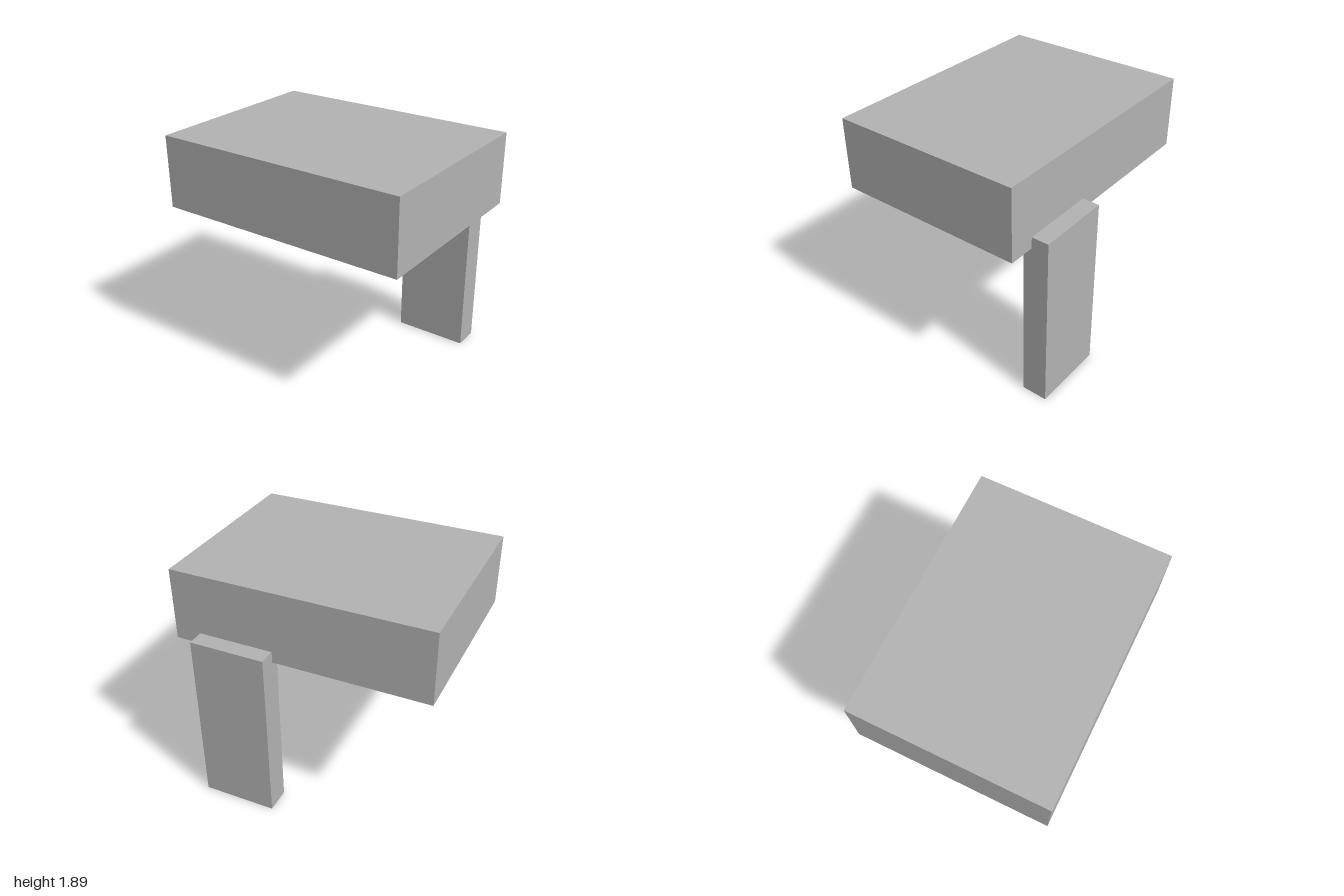
import * as THREE from 'three';

const grey = new THREE.MeshStandardMaterial({ color: 0xb2b2b2 });
grey.name = 'grey';

// Box given by its lower and upper corners
function block(name, min, max) {
  const size = max.map((v, i) => v - min[i]);
  const mesh = new THREE.Mesh(new THREE.BoxGeometry(...size), grey);
  mesh.position.set(...max.map((v, i) => (v + min[i]) / 2));
  mesh.name = name;
  return mesh;
}

export function createModel() {
  const model = new THREE.Group();
  model.name = 'slabOnPost';
  // Wide slab on top
  model.add(block('slab', [-1, 1.322, -0.683], [1, 1.888, 0.817]));
  // Flat post set into the back edge of the slab, off centre
  model.add(block('post', [0.203, 0, -0.817], [0.793, 1.41, -0.615]));
  return model;
}
